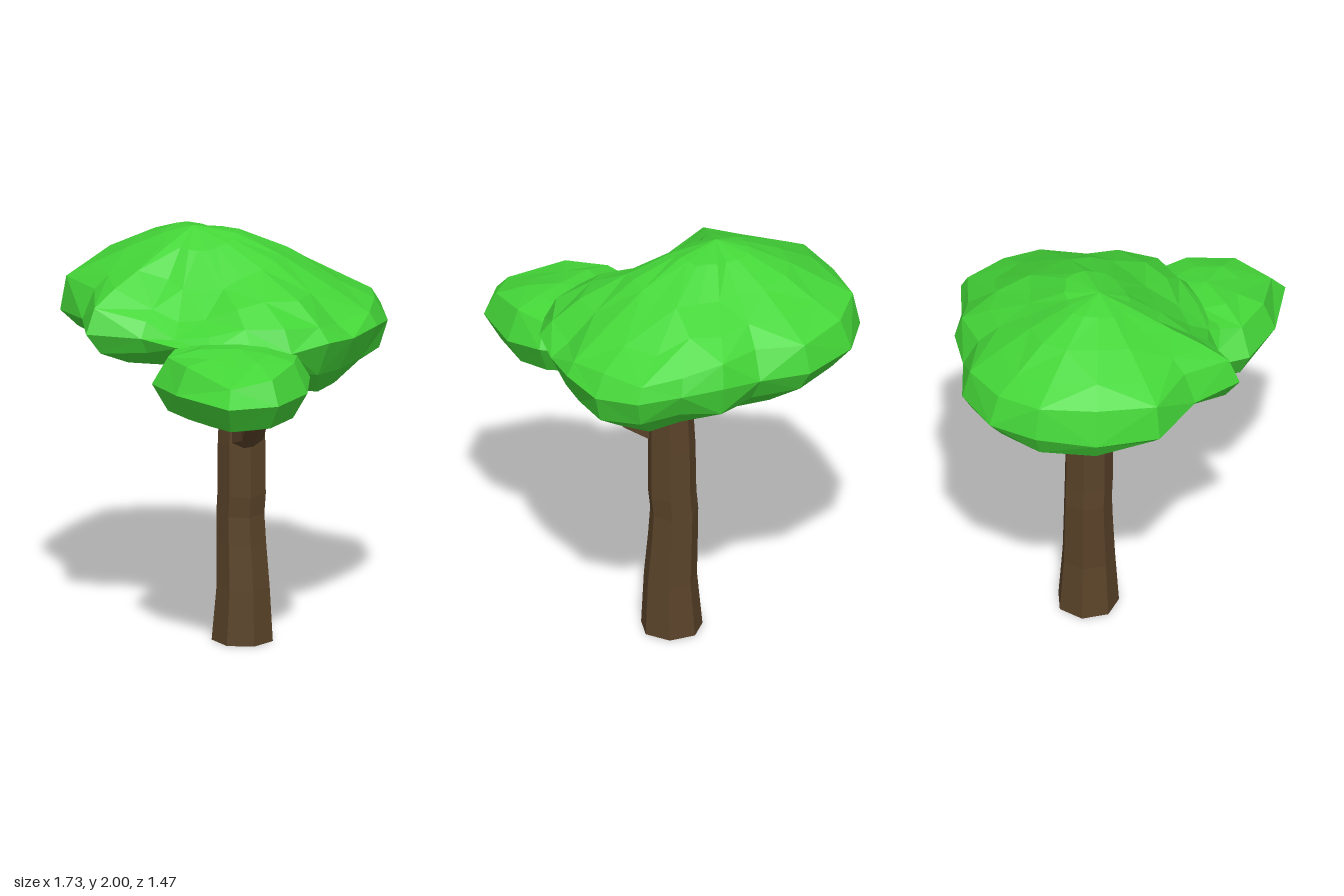
import * as THREE from 'three';

const leafMat = new THREE.MeshStandardMaterial({ color: 0x44d638, flatShading: true });
const barkMat = new THREE.MeshStandardMaterial({ color: 0x5a4329, flatShading: true });

// Seeded value in -1..1
function makeRandom(seed) {
  return () => {
    seed = (seed * 16807) % 2147483647;
    return (seed / 2147483647) * 2 - 1;
  };
}

// Smooth bump of height 1 around (cx, cz)
const bump = (x, z, cx, cz, w) => Math.exp(-((x - cx) ** 2 + (z - cz) ** 2) / (w * w));

// Closed faceted skin over rings of points, listed bottom to top and clockwise from above
function loft(rings, bottom, top) {
  const n = rings[0].length;
  const pos = [];
  const tri = (...pts) => pts.forEach((p) => pos.push(...p));
  for (let i = 0; i < n; i++) {
    const j = (i + 1) % n;
    tri(bottom, rings[0][i], rings[0][j]);
    tri(top, rings.at(-1)[j], rings.at(-1)[i]);
    for (let k = 0; k < rings.length - 1; k++) {
      const a = rings[k][i], b = rings[k][j], c = rings[k + 1][i], d = rings[k + 1][j];
      // alternate the diagonal for an irregular faceted look
      if ((i + k) % 2) { tri(a, c, b); tri(b, c, d); }
      else { tri(a, c, d); tri(a, d, b); }
    }
  }
  const g = new THREE.BufferGeometry();
  g.setAttribute('position', new THREE.Float32BufferAttribute(pos, 3));
  g.computeVertexNormals();
  return g;
}

// Foliage mass: the outline shrunk towards a centre, one ring per [scale, height]
function foliage(outline, levels, low, high, seed, jitter, shape) {
  const rnd = makeRandom(seed);
  const rings = levels.map(([s, y, isTop]) => {
    const c = isTop ? high : low;
    return outline.map(([ox, oz]) => {
      const k = s === 1 ? 1 : s * (1 + rnd() * jitter);
      const x = c[0] + (ox - c[0]) * k;
      const z = c[2] + (oz - c[2]) * k;
      return [x, y + rnd() * jitter * s * 0.5 + shape(x, z, s, isTop), z];
    });
  });
  return loft(rings, low, high);
}

export function createModel() {
  const tree = new THREE.Group();
  tree.name = 'tree';
  const add = (name, geometry, material) => {
    const m = new THREE.Mesh(geometry, material);
    m.name = name;
    tree.add(m);
  };

  // Trunk: slightly crooked seven-sided column, rings as [y, x, z, radius]
  const trunkRings = [
    [0, 0.018, -0.067, 0.148], [0.27, 0.024, -0.067, 0.128], [0.48, 0.012, -0.066, 0.12],
    [0.62, 0.006, -0.065, 0.116], [0.72, 0.016, -0.064, 0.117], [0.97, 0.018, -0.062, 0.115],
    [1.18, 0.022, -0.06, 0.107], [1.33, 0.01, -0.06, 0.094],
  ].map(([y, cx, cz, r]) => Array.from({ length: 7 }, (_, i) => {
    const a = ((i + 0.4) / 7) * Math.PI * 2;
    return [cx + Math.cos(a) * r, y, cz + Math.sin(a) * r];
  }));
  add('trunk', loft(trunkRings, [0.018, 0, -0.067], [0.01, 1.34, -0.06]), barkMat);

  // Branches: bent six-sided limbs reaching into the foliage
  const branches = {
    leftBranch: [0.06, [0.03, 1.0, -0.03], [0.28, 1.11, 0.08], [0.41, 1.34, 0.23]],
    rightBranch: [0.047, [-0.02, 1.17, -0.05], [-0.15, 1.28, -0.08], [-0.32, 1.48, -0.1]],
  };
  for (const [name, [r, ...pts]] of Object.entries(branches)) {
    const path = new THREE.CatmullRomCurve3(pts.map((p) => new THREE.Vector3(...p)));
    add(name, new THREE.TubeGeometry(path, 3, r, 6), barkMat);
  }

  // Main crown: broad dome with its peak off-centre and an uneven underside
  const crown = [
    [-0.87, -0.08], [-0.81, -0.32], [-0.6, -0.51], [-0.36, -0.57], [-0.18, -0.66],
    [0.02, -0.68], [0.23, -0.74], [0.42, -0.62], [0.54, -0.45], [0.6, -0.25],
    [0.64, -0.06], [0.6, 0.14], [0.5, 0.3], [0.35, 0.43], [0.2, 0.53],
    [0.02, 0.57], [-0.19, 0.73], [-0.4, 0.57], [-0.67, 0.47], [-0.81, 0.2],
  ];
  const crownLevels = [
    [0.35, 1.36], [0.7, 1.37], [0.91, 1.465], [1, 1.58, true],
    [0.92, 1.72, true], [0.75, 1.79, true], [0.5, 1.865, true], [0.24, 1.945, true],
  ];
  const crownShape = (x, z, s, isTop) => {
    if (s === 1) {
      return -0.02 * THREE.MathUtils.clamp(x - z, -1, 1) - 0.06 * bump(x, z, -0.75, 0.4, 0.2);
    }
    if (!isTop) {
      // sags at the back left, lifts along the front
      return -0.12 * bump(x, z, 0.22, -0.23, 0.38) + 0.12 * bump(x, z, 0.25, 0.42, 0.28)
        + 0.06 * bump(x, z, -0.4, 0.5, 0.35);
    }
    // rounder shoulder at the back left, a second hump and a dip in front of it
    return -0.07 * THREE.MathUtils.smoothstep(x - z, 0.2, 0.8) * THREE.MathUtils.smoothstep(s, 0.5, 0.9)
      - 0.03 * bump(x, z, 0.5, 0.05, 0.25) - 0.03 * bump(x, z, 0.2, -0.4, 0.2)
      + 0.03 * bump(x, z, 0.18, -0.1, 0.18) - 0.13 * bump(x, z, 0.12, 0.38, 0.24)
      + 0.04 * bump(x, z, -0.6, 0.05, 0.3) + 0.03 * bump(x, z, -0.08, -0.08, 0.12);
  };
  add('mainCrown',
    foliage(crown, crownLevels, [-0.02, 1.33, -0.03], [-0.2, 2, 0.05], 71, 0.04, crownShape), leafMat);

  // Side crown: smaller flat-topped clump on the left front, sloping at its outer corner
  const clump = [
    [0.08, 0.46], [0.12, 0.22], [0.28, 0.05], [0.45, 0], [0.63, 0.05],
    [0.77, 0.19], [0.86, 0.45], [0.78, 0.69], [0.45, 0.73], [0.21, 0.67],
  ];
  const clumpLevels = [
    [0.42, 1.25], [0.8, 1.3], [1, 1.43, true], [0.82, 1.575, true], [0.45, 1.605, true],
  ];
  const clumpShape = (x, z, s, isTop) =>
    (isTop && s < 1 ? -0.06 * bump(x, z, 0.75, 0.6, 0.2) - 0.03 * bump(x, z, 0.65, 0.1, 0.15) : 0);
  add('sideCrown',
    foliage(clump, clumpLevels, [0.45, 1.24, 0.35], [0.5, 1.615, 0.38], 29, 0.03, clumpShape), leafMat);

  return tree;
}
